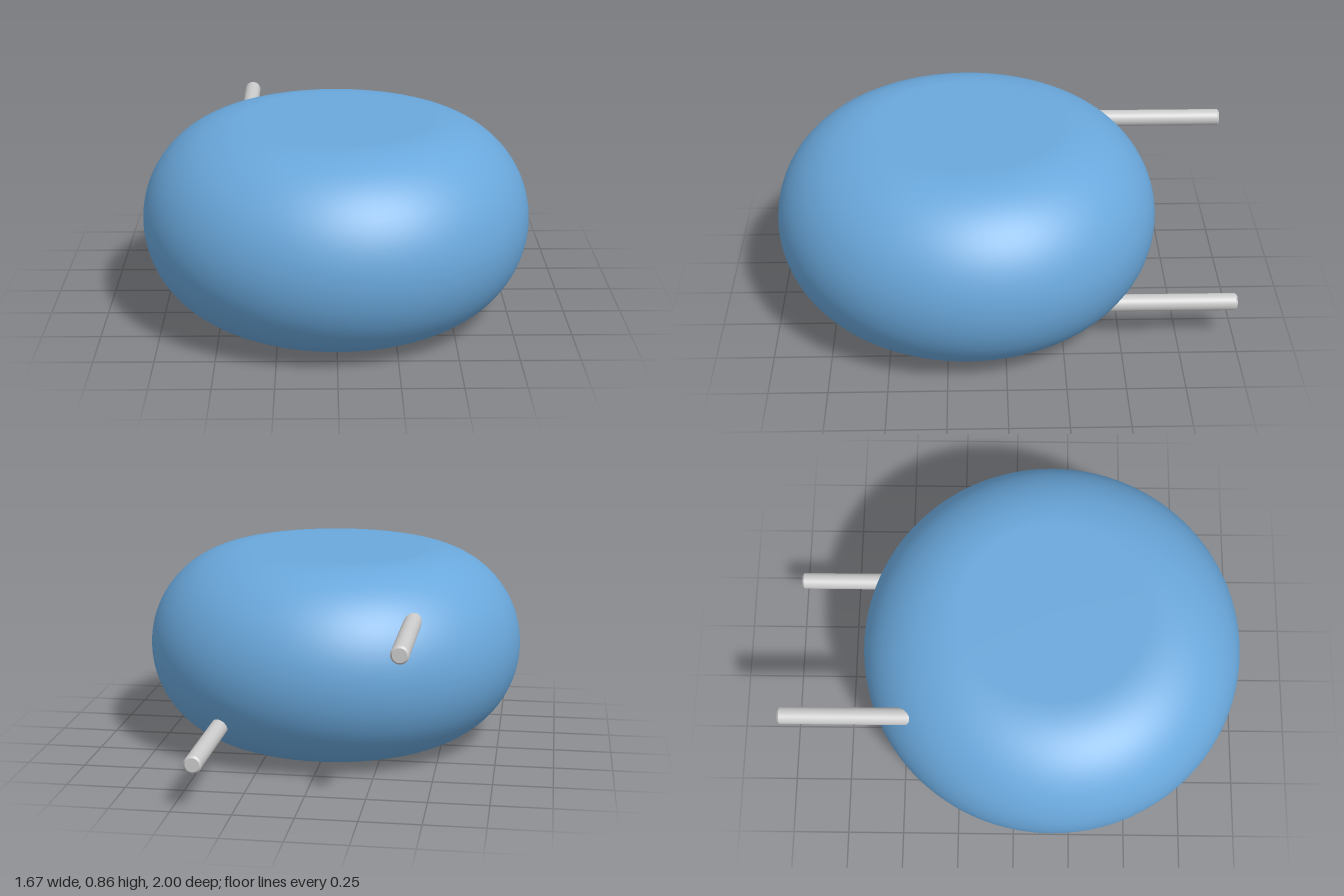
import * as THREE from 'three';

const BODY_Z = 0.163, FLAT_R = 0.402, ROUND_R = 0.432;
const PIN_R = 0.037, PIN_BEVEL = 0.008, PIN_BACK = -1, PIN_INNER = -0.35;

// Flat-topped round body with a full half-circle rim
function createBody() {
  const profile = [new THREE.Vector2(0, 0)];
  const steps = 48;
  for (let i = 0; i <= steps; i++) {
    const a = -Math.PI / 2 + (Math.PI * i) / steps;
    profile.push(new THREE.Vector2(FLAT_R + ROUND_R * Math.cos(a), ROUND_R + ROUND_R * Math.sin(a)));
  }
  profile.push(new THREE.Vector2(0, 2 * ROUND_R));
  const material = new THREE.MeshStandardMaterial({ color: 0x6aa8dc });
  const body = new THREE.Mesh(new THREE.LatheGeometry(profile, 128), material);
  body.name = 'body';
  body.position.z = BODY_Z;
  return body;
}

// Round pin along z with a small bevel at its free end
function createPin(name, x, y, material) {
  const length = PIN_INNER - PIN_BACK;
  const pin = new THREE.Group();
  pin.name = name;
  const add = (part, rTop, rBottom, h, offset, open) => {
    const mesh = new THREE.Mesh(new THREE.CylinderGeometry(rTop, rBottom, h, 40, 1, open), material);
    mesh.name = part;
    mesh.position.y = offset;
    pin.add(mesh);
  };
  add('shaft', PIN_R, PIN_R, length - PIN_BEVEL, (length + PIN_BEVEL) / 2, false);
  add('tip', PIN_R, PIN_R - PIN_BEVEL, PIN_BEVEL, PIN_BEVEL / 2, false);
  pin.rotation.x = Math.PI / 2;
  pin.position.set(x, y, PIN_BACK);
  return pin;
}

export function createModel() {
  const model = new THREE.Group();
  model.name = 'roundBodyWithPins';
  const pinMaterial = new THREE.MeshStandardMaterial({ color: 0xcccccc });
  model.add(
    createBody(),
    createPin('upperRightPin', -0.405, 0.672, pinMaterial),
    createPin('lowerLeftPin', 0.405, 0.198, pinMaterial)
  );
  return model;
}
